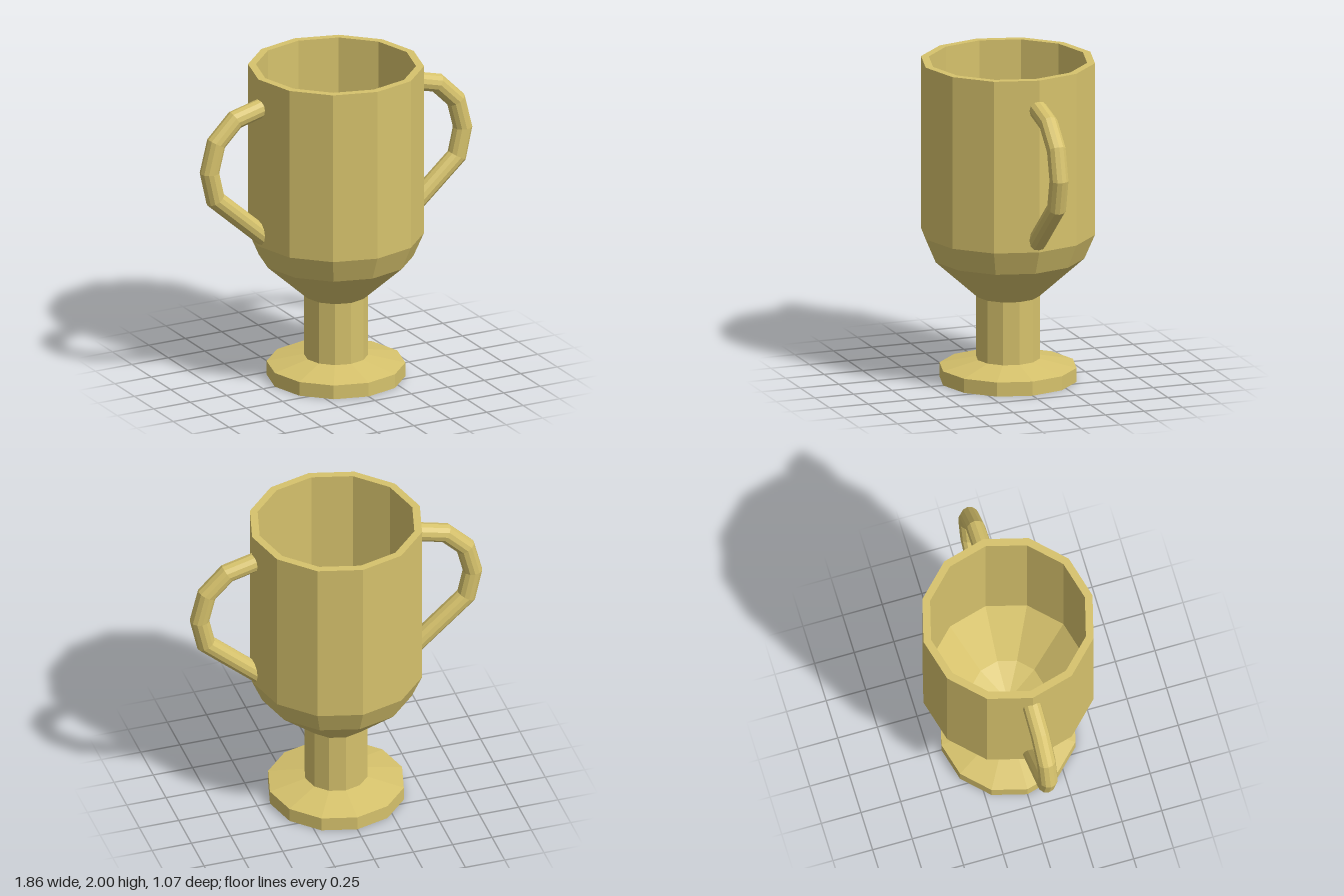
import * as THREE from 'three';

const SIDES = 12;

// Sweeps a round section along a path in the xy plane, with mitred joints.
function sweepTube(path, radius, sides) {
  const pts = path.map(([x, y]) => new THREE.Vector2(x, y));
  const last = pts.length - 1;
  const positions = [], index = [];
  const dir = (i) => pts[i + 1].clone().sub(pts[i]).normalize();
  pts.forEach((p, i) => {
    // End rings stand upright so that they sit flush inside the cup wall.
    const d = dir(Math.min(i, last - 1));
    let n;
    if (i === 0) n = new THREE.Vector2(0, 1);
    else if (i === last) n = new THREE.Vector2(0, -1);
    else {
      const t = d.clone().add(dir(i - 1)).normalize();
      n = new THREE.Vector2(-t.y, t.x);
    }
    n.multiplyScalar(radius / Math.abs(n.x * -d.y + n.y * d.x));
    for (let j = 0; j < sides; j++) {
      const a = (j / sides) * Math.PI * 2;
      positions.push(p.x + n.x * Math.cos(a), p.y + n.y * Math.cos(a), radius * Math.sin(a));
    }
  });
  for (let i = 0; i < last; i++) {
    for (let j = 0; j < sides; j++) {
      const k = (j + 1) % sides;
      const a = i * sides + j, b = i * sides + k;
      const c = a + sides, e = b + sides;
      index.push(a, b, c, b, e, c);
    }
  }
  const geo = new THREE.BufferGeometry();
  geo.setAttribute('position', new THREE.Float32BufferAttribute(positions, 3));
  geo.setIndex(index);
  geo.computeVertexNormals();
  return geo;
}

export function createModel() {
  const group = new THREE.Group();
  const gold = new THREE.MeshStandardMaterial({ color: 0xd6c26c, flatShading: true });
  gold.name = 'gold';

  const add = (name, geometry) => {
    const mesh = new THREE.Mesh(geometry, gold);
    mesh.name = name;
    group.add(mesh);
    return mesh;
  };
  const lathe = (profile) =>
    new THREE.LatheGeometry(profile.map(([r, y]) => new THREE.Vector2(r, y)), SIDES);

  // Foot: flat disc with a sloping top
  add('foot', lathe([[0, 0], [0.42, 0], [0.42, 0.088], [0.195, 0.137]]));

  // Stem
  add('stem', lathe([[0.195, 0.137], [0.195, 0.53]]));

  // Cup: outer wall, rim, then inner wall down to the floor
  add('cup', lathe([
    [0.195, 0.53], [0.468, 0.775], [0.533, 0.925], [0.533, 2],
    [0.485, 2], [0.485, 0.94], [0.23, 0.64], [0, 0.55],
  ]));

  // Two matching handles
  const handle = sweepTube([
    [0.51, 1.814], [0.693, 1.767], [0.822, 1.638],
    [0.868, 1.455], [0.828, 1.277], [0.51, 0.995],
  ], 0.058, 12);
  add('leftHandle', handle);
  add('rightHandle', handle).rotation.y = Math.PI;

  return group;
}
